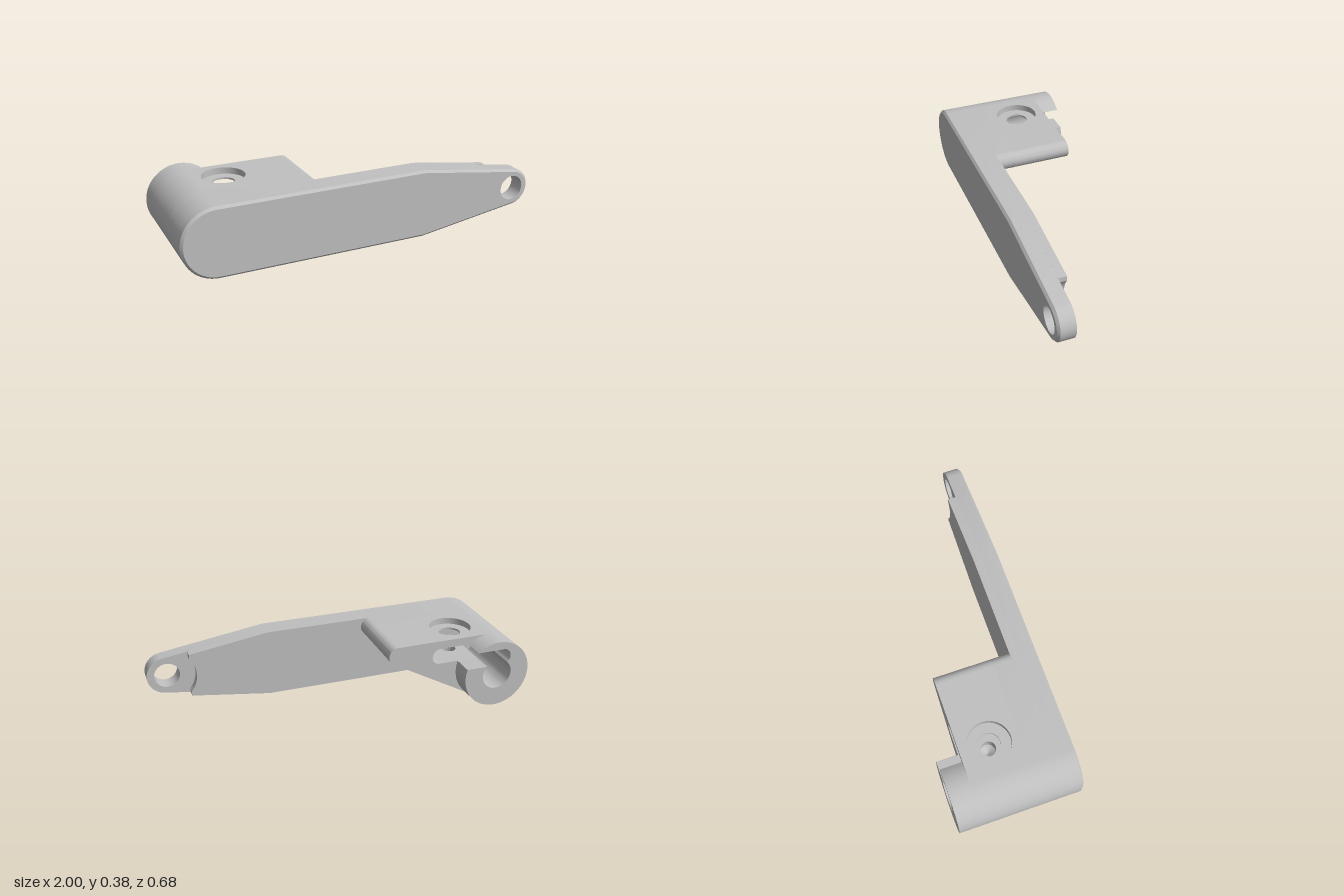
import * as THREE from 'three';
import { toCreasedNormals } from 'three/addons/utils/BufferGeometryUtils.js';

const V = (x, y) => new THREE.Vector2(x, y);

// Points along an arc, angles in degrees
function arc(cx, cy, r, from, to, n = 32) {
  return Array.from({ length: n + 1 }, (_, i) => {
    const a = THREE.MathUtils.degToRad(from + (to - from) * i / n);
    return V(cx + r * Math.cos(a), cy + r * Math.sin(a));
  });
}

function shapeOf(points, hole) {
  const shape = new THREE.Shape(points);
  if (hole) shape.holes.push(new THREE.Path(hole));
  return shape;
}

function extrude(points, z0, z1, hole) {
  const g = new THREE.ExtrudeGeometry(shapeOf(points, hole), { depth: z1 - z0, bevelEnabled: false });
  return g.translate(0, 0, z0);
}

// Wall between two outlines with equal point counts
function loft(a, za, b, zb) {
  const pos = [];
  a.forEach((p, i) => {
    const j = (i + 1) % a.length;
    const A = [p.x, p.y, za], B = [a[j].x, a[j].y, za];
    const C = [b[j].x, b[j].y, zb], D = [b[i].x, b[i].y, zb];
    pos.push(...A, ...B, ...C, ...A, ...C, ...D);
  });
  const g = new THREE.BufferGeometry();
  g.setAttribute('position', new THREE.Float32BufferAttribute(pos, 3));
  g.computeVertexNormals();
  return g;
}

// Removes the triangles that lie flat at one of the given heights
function dropFlats(g, heights) {
  const p = g.attributes.position, pos = [];
  for (let i = 0; i < p.count; i += 3) {
    const flat = heights.some(h => [0, 1, 2].every(k => Math.abs(p.getY(i + k) - h) < 1e-4));
    if (flat) continue;
    for (let k = 0; k < 3; k++) pos.push(p.getX(i + k), p.getY(i + k), p.getZ(i + k));
  }
  const out = new THREE.BufferGeometry();
  out.setAttribute('position', new THREE.Float32BufferAttribute(pos, 3));
  out.computeVertexNormals();
  return out;
}

const BACK = -0.338, BODY_BACK = -0.22, SLOT_END = 0.1, PLATE_BACK = 0.2;
const TIP_BACK = 0.245, CHAMFER_Z = 0.325, FRONT = 0.338;
const SCREW = { x: -0.65, z: -0.06 };

// Horizontal panel with a round hole for the screw; up is 1 or -1
function panel(x0, x1, y, r, up) {
  const a = -up * BODY_BACK, b = -up * SLOT_END;
  const g = new THREE.ShapeGeometry(shapeOf(
    [V(x0, a), V(x1, a), V(x1, b), V(x0, b)],
    arc(SCREW.x, -up * SCREW.z, r, 0, 360, 48).slice(0, -1)));
  return g.rotateX(-up * Math.PI / 2).translate(0, y, 0);
}

// Arm outline, inset by d
function armOutline(d) {
  return [
    ...arc(-0.81, 0.19, 0.19 - d, 90, 270, 40),
    V(0.33, d),
    ...arc(0.895, 0.19, 0.105 - d, -81.5, 81.5),
    V(0.33, 0.38 - d),
  ];
}

export function createModel() {
  const group = new THREE.Group();
  const grey = new THREE.MeshStandardMaterial({ color: 0xc0c0c0 });
  grey.name = 'plain grey';

  function add(name, geometry) {
    const mesh = new THREE.Mesh(toCreasedNormals(geometry, 0.45), grey);
    mesh.name = name;
    group.add(mesh);
    return mesh;
  }

  // Arm plate with pivot hole and chamfered front edge
  const pivotHole = arc(0.89, 0.19, 0.07, 0, 360, 48).slice(0, -1);
  const pivotWall = pivotHole.slice().reverse();
  const outer = armOutline(0), inner = armOutline(0.013);
  add('armPlate', extrude(outer, TIP_BACK, CHAMFER_Z, pivotHole));
  add('armChamfer', loft(outer, CHAMFER_Z, inner, FRONT));
  add('pivotHoleRim', loft(pivotWall, CHAMFER_Z, pivotWall, FRONT));
  add('armFace', new THREE.ShapeGeometry(shapeOf(inner, pivotHole)).translate(0, 0, FRONT));

  // Thicker back layer, stopping in a scooped step before the tip
  add('armBackLayer', extrude([
    ...arc(-0.81, 0.19, 0.19, 90, 270, 40),
    V(0.33, 0), V(0.77, 0.065),
    ...arc(0.89, 0.19, 0.155, 220, 140, 20),
    V(0.77, 0.315), V(0.33, 0.38),
  ], PLATE_BACK, TIP_BACK));

  // Wedge-shaped clamp body with keyhole bore
  const bodyOutline = [
    ...arc(-0.27, 0.33, 0.05, -61, 90, 16),
    ...arc(-0.81, 0.19, 0.19, 90, 299, 48),
  ];
  const keyhole = [
    ...arc(-0.52, 0.29, 0.045, -90, 90, 20),
    ...arc(-0.84, 0.29, 0.045, 90, 234, 16),
    ...arc(-0.81, 0.19, 0.085, 131.6, 400.2, 40),
    V(-0.745, 0.245),
  ];
  add('clampBody', dropFlats(
    extrude(bodyOutline, BODY_BACK, SLOT_END, keyhole), [0.38, 0.335, 0.245]));
  add('clampBodyFront', extrude(bodyOutline, SLOT_END, PLATE_BACK));
  add('clampTop', panel(-0.81, -0.27, 0.38, 0.115, 1));
  add('slotCeiling', panel(-0.84, -0.52, 0.335, 0.06, -1));
  add('slotFloor', panel(-0.745, -0.52, 0.245, 0.04, 1));

  // Counterbore through the top, and the blind screw hole below the slot
  const recesses = {
    screwCounterbore: [V(0.115, 0.38), V(0.115, 0.345), V(0.06, 0.345), V(0.06, 0.335)],
    screwHole: [V(0.04, 0.245), V(0.04, 0.17), V(0, 0.14)],
  };
  for (const [name, profile] of Object.entries(recesses)) {
    add(name, new THREE.LatheGeometry(profile, 48).translate(SCREW.x, 0, SCREW.z));
  }

  // Split hub at the back, open along the slot
  add('splitHub', extrude([
    ...arc(-0.81, 0.19, 0.19, 49.7, 376.8, 64),
    V(-0.745, 0.245),
    ...arc(-0.81, 0.19, 0.085, 40.2, -228.4, 40),
    ...arc(-0.84, 0.29, 0.045, 234, 90, 16),
  ], BACK, BODY_BACK));

  return group;
}
